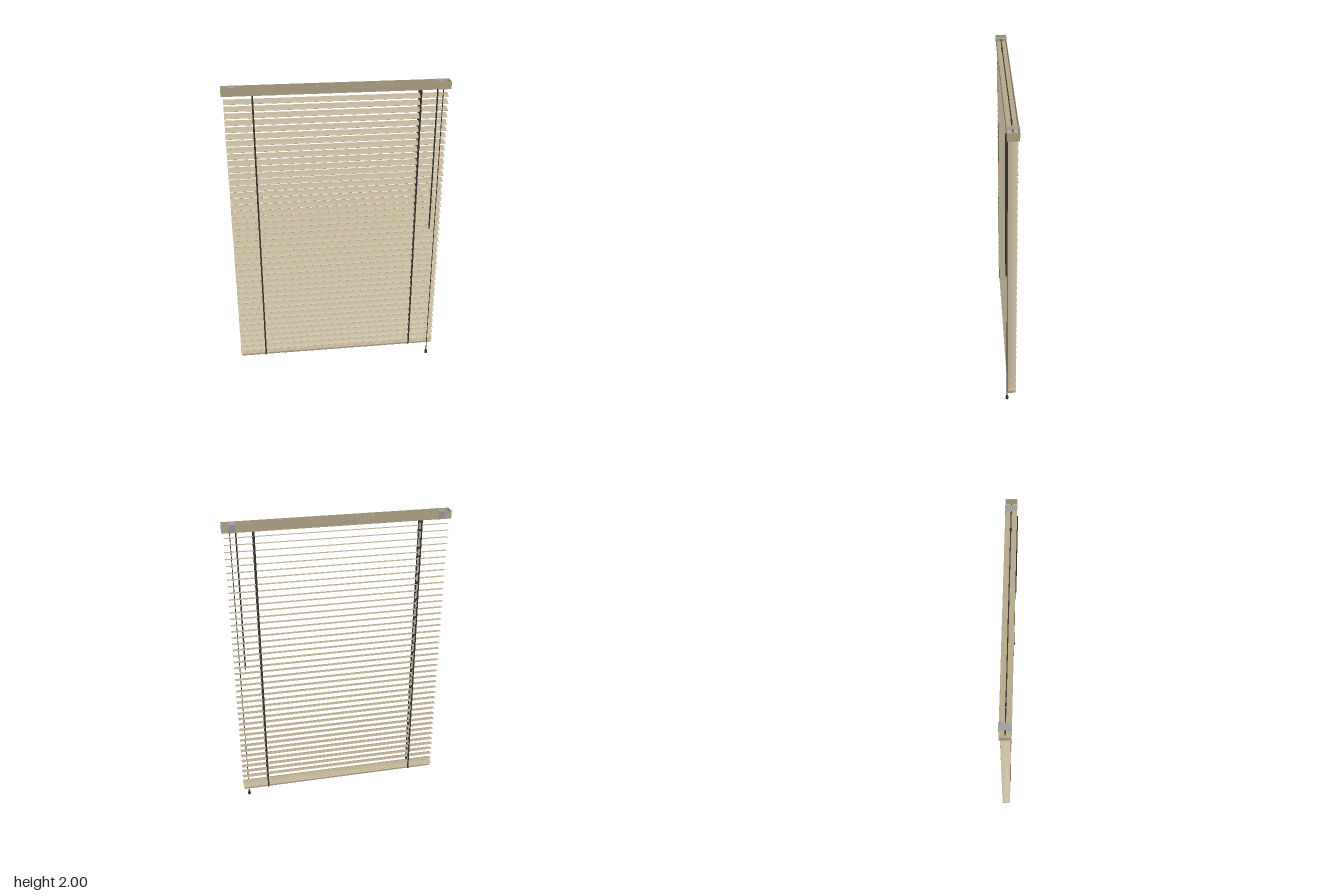
import * as THREE from 'three';

const mat = (color, extra = {}) => new THREE.MeshStandardMaterial({ color, ...extra });
const railMat = mat(0xb5a688);
const slatMat = mat(0xbfb296);
const cordMat = mat(0x3a342c);
const metalMat = mat(0x9a9c98);

export function createModel() {
  const root = new THREE.Group();

  const add = (name, geo, material, x = 0, y = 0, z = 0, parent = root) => {
    const m = new THREE.Mesh(geo, material);
    m.name = name;
    m.position.set(x, y, z);
    parent.add(m);
    return m;
  };
  const box = (name, w, h, d, material, x, y, z, parent) =>
    add(name, new THREE.BoxGeometry(w, h, d), material, x, y, z, parent);
  const rod = (name, r, y0, y1, x, z, parent) =>
    add(name, new THREE.CylinderGeometry(r, r, y1 - y0, 8), cordMat, x, (y0 + y1) / 2, z, parent);

  // A (z, y) outline drawn out along x and centred on x = 0
  const alongX = (points, length) => {
    const shape = new THREE.Shape(points.map(([z, y]) => new THREE.Vector2(z, y)));
    const g = new THREE.ExtrudeGeometry(shape, { depth: length, bevelEnabled: false });
    return g.translate(0, 0, -length / 2).rotateY(-Math.PI / 2);
  };

  // Head rail: open-topped channel with end caps
  const d = 0.033, t = 0.002;
  const head = new THREE.Group();
  head.name = 'headRail';
  root.add(head);
  add('channel', alongX([
    [-d, 1.952], [d, 1.952], [d, 2], [d - t, 2],
    [d - t, 1.952 + t], [-d + t, 1.952 + t], [-d + t, 2], [-d, 2],
  ], 1.376), railMat, 0, 0, 0, head);

  // Tilt rod running inside the channel
  add('tiltRod', new THREE.CylinderGeometry(0.003, 0.003, 1.34, 8).rotateZ(Math.PI / 2),
    cordMat, 0, 1.978, 0, head);

  for (const s of [-1, 1]) {
    box('endCap', 0.003, 0.048, 2 * d, railMat, s * 0.6895, 1.976, 0, head);
    // Mounting bracket: top plate and back plate
    box('bracketTop', 0.04, 0.002, 2 * d + 0.003, metalMat, s * 0.63, 1.9995, -0.0015, head);
    box('bracketBack', 0.04, 0.048, 0.002, metalMat, s * 0.63, 1.976, -d - 0.001, head);
    // Drum winding the ladder
    add('ladderDrum', new THREE.CylinderGeometry(0.006, 0.006, 0.014, 12).rotateZ(Math.PI / 2),
      cordMat, s * 0.508, 1.978, 0, head);
  }

  // Slat: thin crowned strip
  const half = 0.0275, crown = 0.004, thick = 0.0012, upper = [], lower = [];
  for (let i = 0; i <= 6; i++) {
    const u = i / 3 - 1, y = crown * (1 - u * u) - crown / 2;
    lower.push([u * half, y - thick / 2]);
    upper.unshift([u * half, y + thick / 2]);
  }
  const slatGeo = alongX([...lower, ...upper], 1.362);
  const slats = new THREE.Group();
  slats.name = 'slats';
  root.add(slats);
  const count = 42, top = 1.912, bottom = 0.146, tilt = 0.31;
  const slatY = (i) => top + (bottom - top) * i / (count - 1);
  for (let i = 0; i < count; i++) {
    add('slat', slatGeo, slatMat, 0, slatY(i), 0, slats).rotation.x = tilt;
  }
  // Spare slats lying flat on the bottom rail
  for (const y of [0.115, 0.122]) add('stackedSlat', slatGeo, slatMat, 0, y, 0, slats);

  // Bottom rail with chamfered edges
  const b = 0.025;
  add('bottomRail', alongX([
    [-b + 0.003, 0.091], [b - 0.003, 0.091], [b, 0.094], [b, 0.106],
    [b - 0.003, 0.109], [-b + 0.003, 0.109], [-b, 0.106], [-b, 0.094],
  ], 1.352), railMat);

  // Ladders: front and back tapes, lift cord and a rung under each slat
  const rungGeo = new THREE.BoxGeometry(0.008, 0.001, 0.056);
  for (const s of [-1, 1]) {
    const ladder = new THREE.Group();
    ladder.name = 'ladder';
    ladder.position.x = s * 0.508;
    root.add(ladder);
    for (const z of [-0.0285, 0.0285])
      box('tape', 0.01, 1.86, 0.0015, cordMat, 0, 1.022, z, ladder);
    rod('liftCord', 0.002, 0.1, 1.978, 0, 0, ladder);
    for (let i = 0; i < count; i++)
      add('rung', rungGeo, cordMat, 0, slatY(i) - 0.004, 0, ladder).rotation.x = tilt;
  }

  // Tilt wand
  rod('tiltWand', 0.0045, 1.015, 1.955, 0.607, 0.034);

  // Pull cord and tassel
  rod('pullCord', 0.0025, 0.035, 1.955, 0.643, 0.029);
  const profile = [[0, 0], [0.007, 0.001], [0.01, 0.008], [0.0095, 0.016], [0.005, 0.034], [0.003, 0.042], [0, 0.043]]
    .map(([r, y]) => new THREE.Vector2(r, y));
  add('tassel', new THREE.LatheGeometry(profile, 16), cordMat, 0.643, 0, 0.029);

  return root;
}
